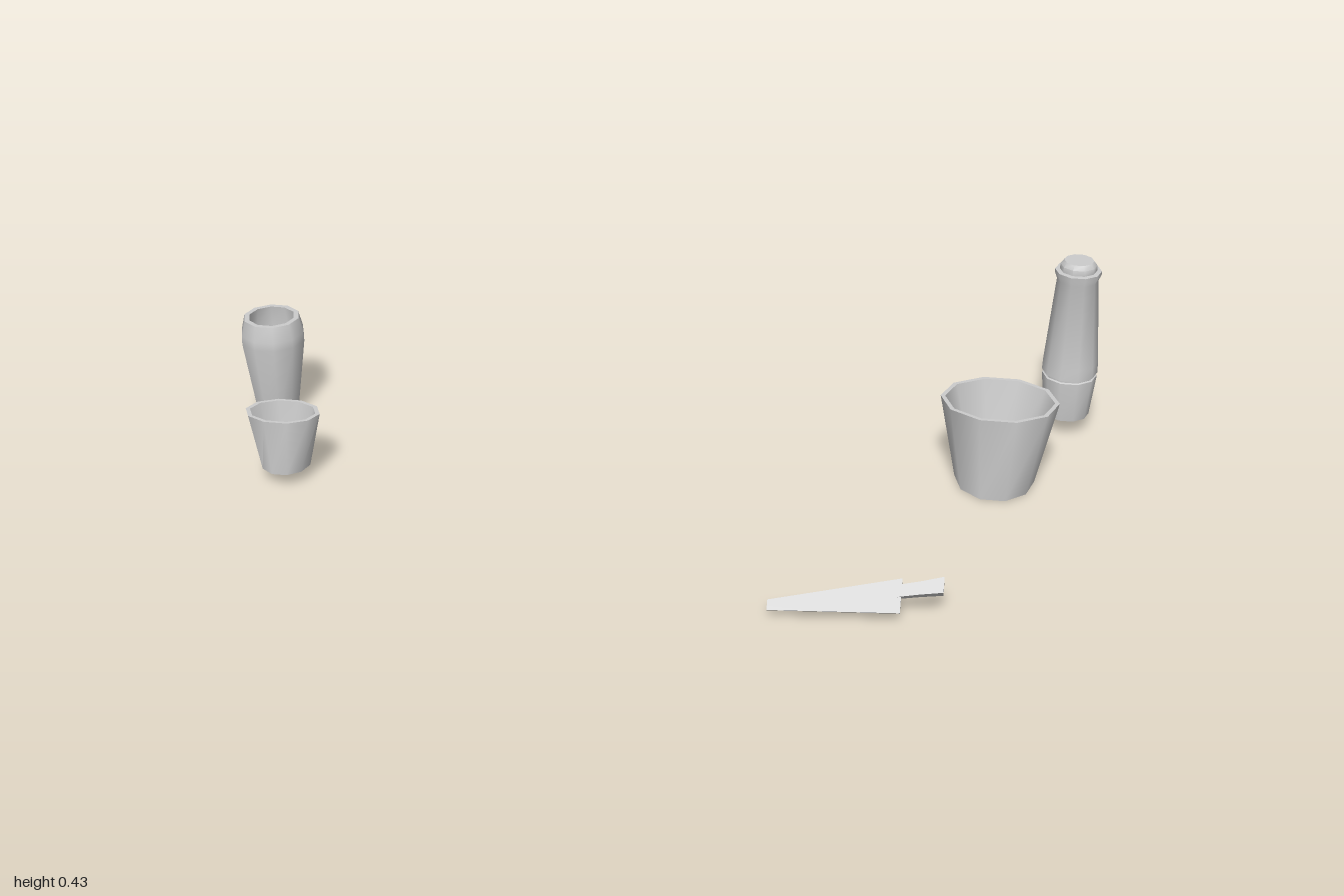
import * as THREE from 'three';
import { toCreasedNormals } from 'three/addons/utils/BufferGeometryUtils.js';

const SIDES = 10;

// Skin a stack of equal-sized rings and close both ends.
function loft(rings, crease) {
  const pos = [];
  const tri = (a, b, c) => pos.push(...a, ...b, ...c);
  const n = rings[0].length;
  for (let k = 0; k < rings.length - 1; k++) {
    for (let i = 0; i < n; i++) {
      const j = (i + 1) % n;
      tri(rings[k][i], rings[k + 1][i], rings[k][j]);
      tri(rings[k][j], rings[k + 1][i], rings[k + 1][j]);
    }
  }
  const first = rings[0], last = rings[rings.length - 1];
  for (let i = 1; i < n - 1; i++) {
    tri(first[0], first[i], first[i + 1]);
    tri(last[0], last[i + 1], last[i]);
  }
  const geo = new THREE.BufferGeometry();
  geo.setAttribute('position', new THREE.Float32BufferAttribute(pos, 3));
  geo.computeVertexNormals();
  return toCreasedNormals(geo, crease);
}

// Ten-sided vessel from a profile of [y, radiusX, radiusZ].
function vessel(profile) {
  return loft(profile.map(([y, rx, rz = rx]) =>
    Array.from({ length: SIDES }, (_, i) => {
      const a = (i / SIDES) * Math.PI * 2;
      return [rx * Math.cos(a), y, rz * Math.sin(a)];
    })), 0.8);
}

// Four-cornered section, rolled 45 degrees about x:
// width across, thickness at the upper and lower side.
function section(x, y, z, width, upper, lower) {
  const s = Math.SQRT1_2;
  const corner = (w, t) => [x, y + s * (w + t), z + s * (t - w)];
  const h = width / 2;
  return [corner(h, upper / 2), corner(h, -upper / 2), corner(-h, -lower / 2), corner(-h, lower / 2)];
}

export function createModel() {
  const model = new THREE.Group();
  const material = new THREE.MeshStandardMaterial({ color: 0xcccccc });
  const add = (name, geometry, x = 0, z = 0, parent = model) => {
    const mesh = new THREE.Mesh(geometry, material);
    mesh.name = name;
    mesh.position.set(x, 0, z);
    parent.add(mesh);
  };

  // Shouldered jar: outside, rim, then the hollow down to its floor
  add('tallJar', vessel([
    [0.007, 0.05], [0.19, 0.076], [0.21, 0.075], [0.247, 0.066],
    [0.247, 0.054], [0.2, 0.06], [0.025, 0.05],
  ]), -0.925, -0.238);

  // Oval cups with a rounder foot
  add('smallCup', vessel([
    [0.033, 0.056, 0.06], [0.165, 0.086, 0.06],
    [0.165, 0.076, 0.052], [0.045, 0.05, 0.035],
  ]), -0.81, 0.073);
  add('largeCup', vessel([
    [0.002, 0.09, 0.108], [0.203, 0.132, 0.113],
    [0.203, 0.122, 0.103], [0.02, 0.07, 0.06],
  ]), 0.778, -0.17);

  // Mill: foot, groove, tapering body, collar and cap
  add('mill', vessel([
    [0.043, 0.052], [0.14, 0.063], [0.144, 0.063], [0.146, 0.059],
    [0.15, 0.059], [0.152, 0.064], [0.18, 0.063], [0.385, 0.047], [0.4, 0.053],
    [0.408, 0.053], [0.409, 0.042], [0.422, 0.042], [0.432, 0.034],
  ]), 0.933, -0.448);

  // Knife lying on a slant
  const knife = new THREE.Group();
  knife.name = 'knife';
  add('blade', loft([
    section(0.337, 0.03, 0.496, 0.022, 0.006, 0.003),
    section(0.608, 0.05, 0.451, 0.072, 0.018, 0.004),
  ], 0.3), 0, 0, knife);
  add('handle', loft([
    section(0.6, 0.056, 0.444, 0.026, 0.018, 0.018),
    section(0.645, 0.06, 0.433, 0.028, 0.022, 0.022),
    section(0.693, 0.064, 0.42, 0.034, 0.026, 0.026),
  ], 0.3), 0, 0, knife);
  model.add(knife);

  return model;
}
